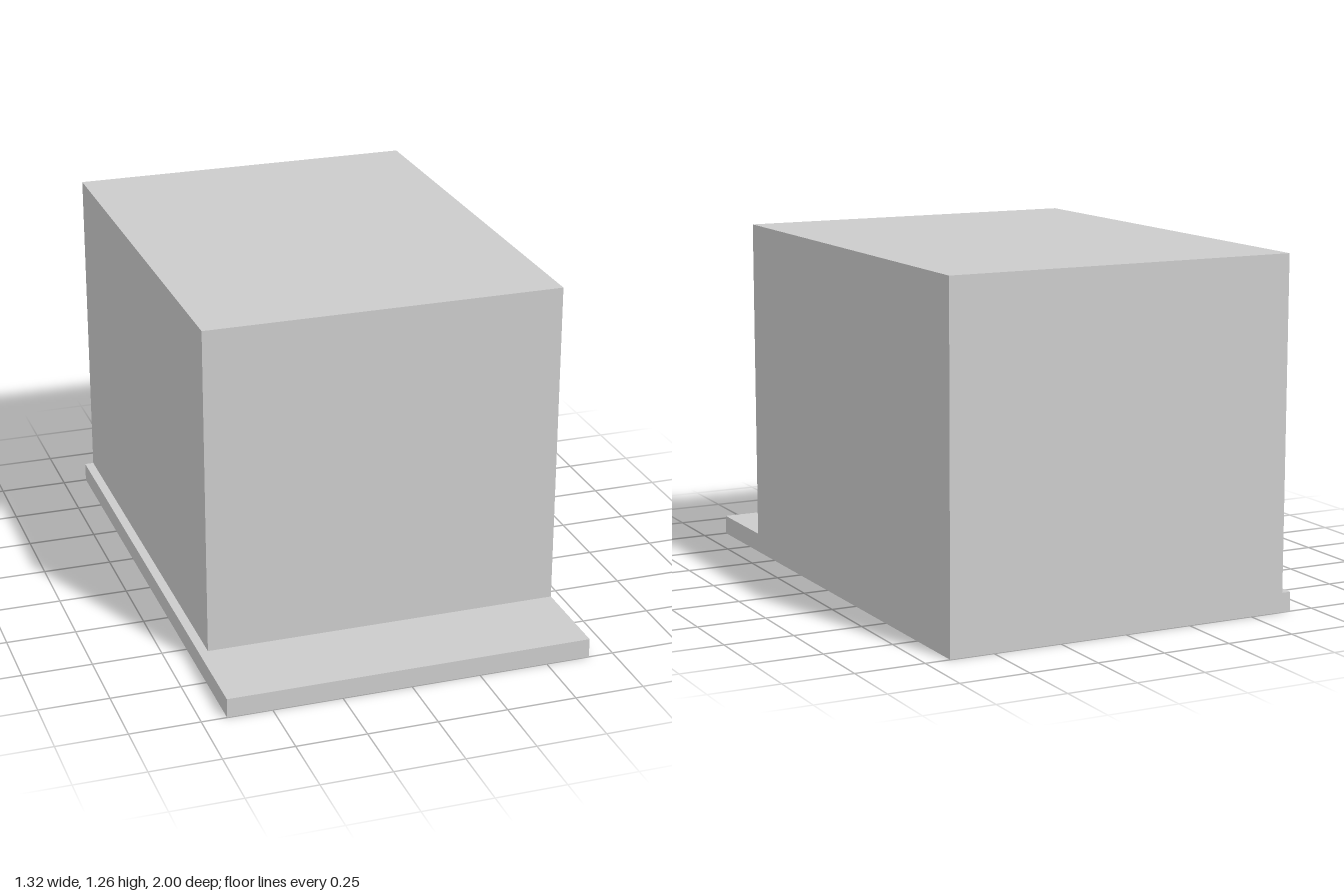
import * as THREE from 'three';

const material = new THREE.MeshStandardMaterial({ color: 0xcccccc, flatShading: true });

// Box spanning two opposite corners
function boxBetween(name, min, max) {
  const size = max.map((v, i) => v - min[i]);
  const mesh = new THREE.Mesh(new THREE.BoxGeometry(...size), material);
  mesh.name = name;
  mesh.position.set(...max.map((v, i) => (v + min[i]) / 2));
  return mesh;
}

export function createModel() {
  const model = new THREE.Group();
  model.name = 'blockOnPlinth';

  // Thin slab, with a ledge at the front and a narrow one on the right
  model.add(boxBetween('baseSlab', [-0.66, 0, -1], [0.66, 0.07, 1]));

  // Main block, flush with the slab at the back and left
  model.add(boxBetween('mainBlock', [-0.627, 0.07, -1], [0.66, 1.257, 0.66]));

  return model;
}
